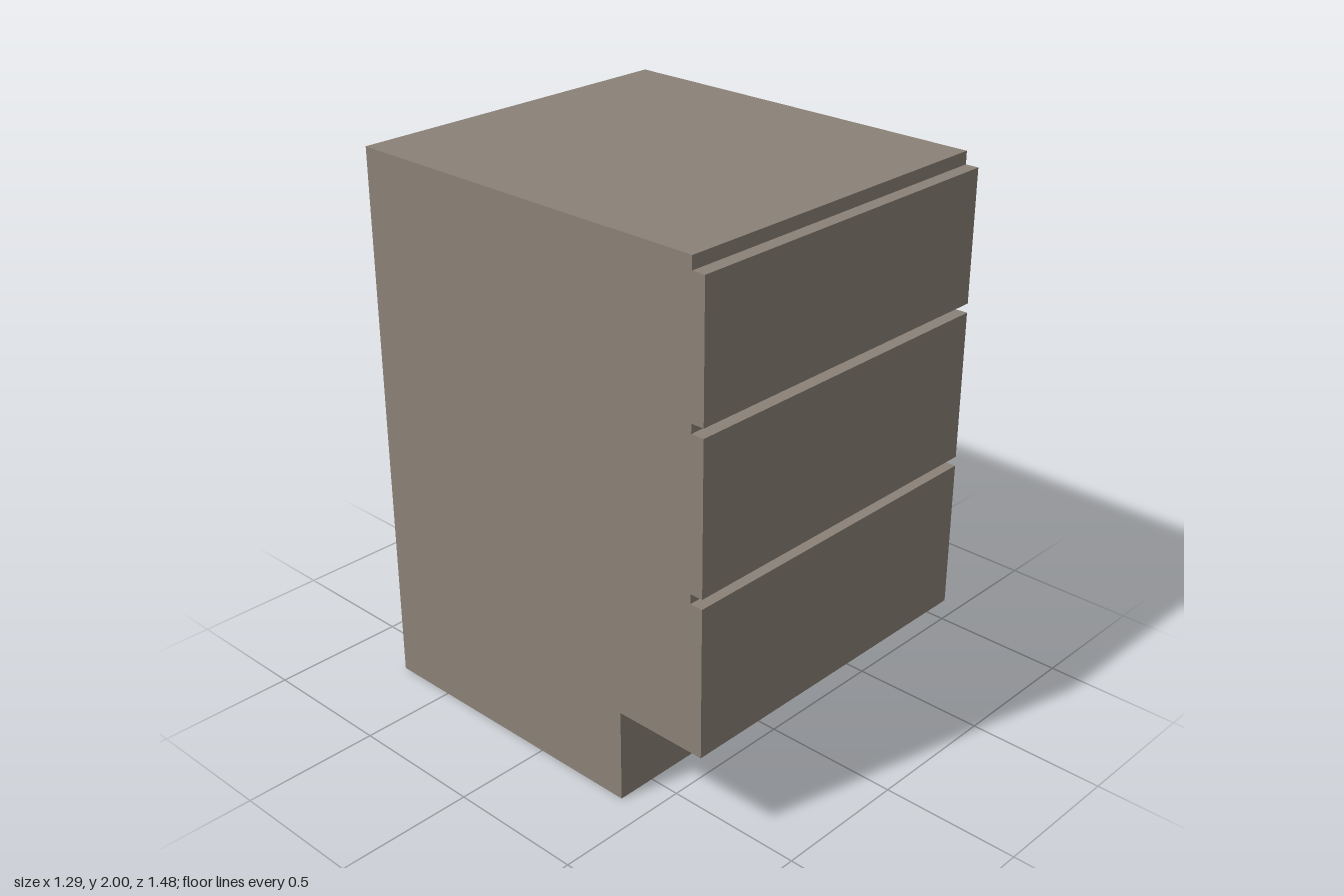
import * as THREE from 'three';

const WIDTH = 1.29, BACK = -0.74, FRONT = 0.74, CARCASS_FRONT = 0.692;
const TOE_Z = 0.387, TOE_Y = 0.343;

export function createModel() {
  const model = new THREE.Group();
  model.name = 'drawerCabinet';
  const material = new THREE.MeshStandardMaterial({ color: 0x8b8177 });

  // Carcass: side profile (z, y) with the toe recess, extruded across the width
  const profile = new THREE.Shape([
    [BACK, 0], [TOE_Z, 0], [TOE_Z, TOE_Y], [CARCASS_FRONT, TOE_Y], [CARCASS_FRONT, 2], [BACK, 2],
  ].map(([z, y]) => new THREE.Vector2(z, y)));
  const carcassGeometry = new THREE.ExtrudeGeometry(profile, { depth: WIDTH, bevelEnabled: false });
  carcassGeometry.rotateY(-Math.PI / 2).translate(WIDTH / 2, 0, 0);
  const carcass = new THREE.Mesh(carcassGeometry, material);
  carcass.name = 'carcass';
  model.add(carcass);

  // Drawer fronts: slabs separated by narrow finger gaps
  const drawers = [
    ['bottomDrawerFront', TOE_Y, 0.885],
    ['middleDrawerFront', 0.92, 1.455],
    ['topDrawerFront', 1.488, 1.955],
  ];
  for (const [name, y0, y1] of drawers) {
    const front = new THREE.Mesh(new THREE.BoxGeometry(WIDTH, y1 - y0, FRONT - CARCASS_FRONT), material);
    front.position.set(0, (y0 + y1) / 2, (FRONT + CARCASS_FRONT) / 2);
    front.name = name;
    model.add(front);
  }
  return model;
}
